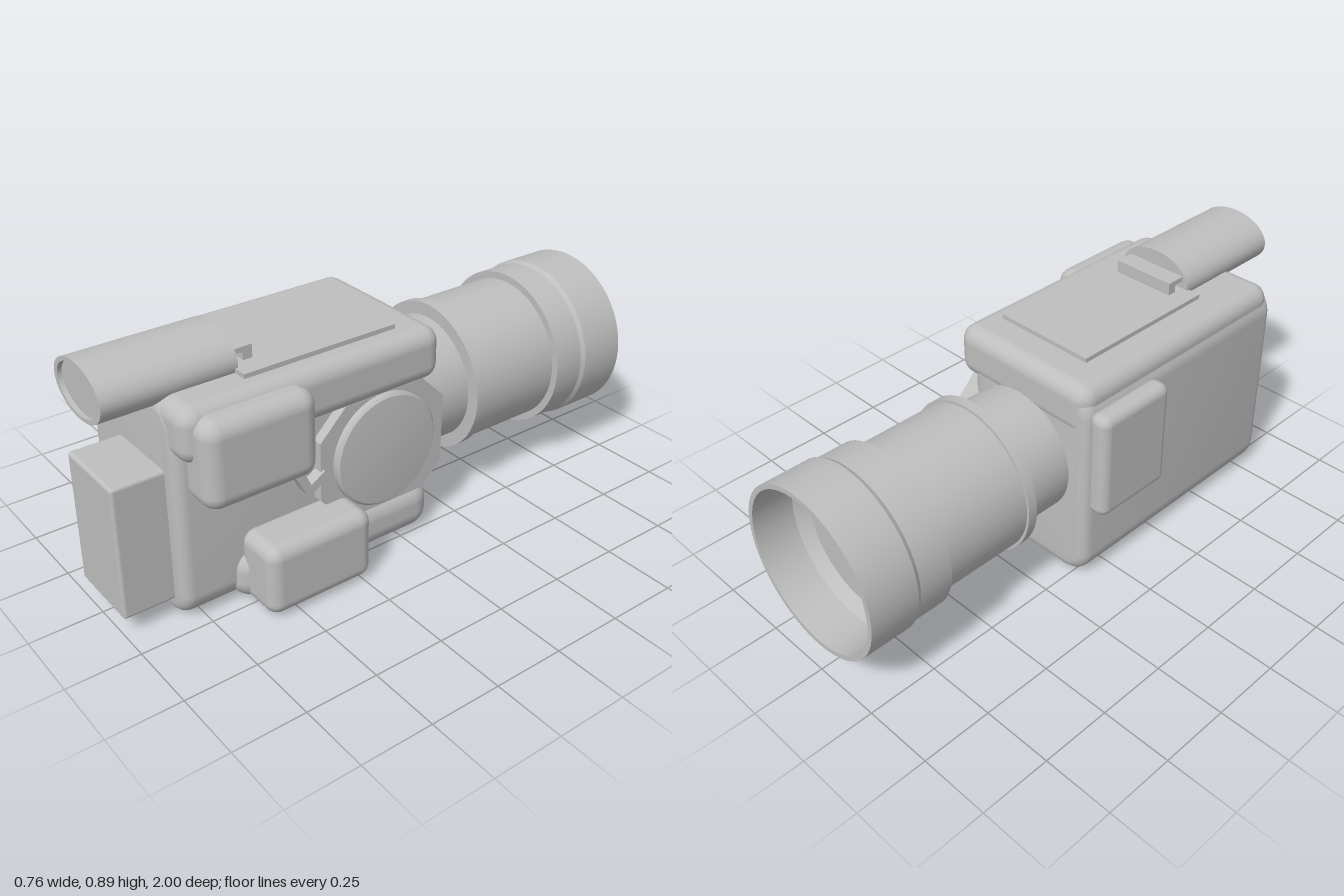
import * as THREE from 'three';
import { toCreasedNormals } from 'three/addons/utils/BufferGeometryUtils.js';
import { RoundedBoxGeometry } from 'three/addons/geometries/RoundedBoxGeometry.js';

export function createModel() {
  const model = new THREE.Group();
  model.name = 'camera';
  const grey = new THREE.MeshStandardMaterial({ color: 0xbebebe });
  grey.name = 'grey';

  const add = (name, geometry) => {
    const mesh = new THREE.Mesh(geometry, grey);
    mesh.name = name;
    model.add(mesh);
    return mesh;
  };

  // Box given by its limits on each axis, optionally rounded
  const block = (name, [x0, x1], [y0, y1], [z0, z1], radius = 0) => {
    const size = [x1 - x0, y1 - y0, z1 - z0];
    const geometry = radius
      ? new RoundedBoxGeometry(...size, 5, radius)
      : new THREE.BoxGeometry(...size);
    add(name, geometry).position.set((x0 + x1) / 2, (y0 + y1) / 2, (z0 + z1) / 2);
  };

  // Turned part from [radius, height] pairs, running along +y
  const turned = (profile) => toCreasedNormals(
    new THREE.LatheGeometry(profile.map(([r, h]) => new THREE.Vector2(r, h)), 64), 0.5);

  // Side plate from [z, y] outline, extruded along x
  const sidePlate = (name, outline, x0, x1) => {
    const shape = new THREE.Shape(outline.map(([z, y]) => new THREE.Vector2(-z, y)));
    const geometry = new THREE.ExtrudeGeometry(shape, { depth: x1 - x0, bevelEnabled: false });
    add(name, geometry.rotateY(Math.PI / 2).translate(x0, 0, 0));
  };

  // Main body: large corner radius seen from the front, small one on the front and back edges
  const bevel = 0.04, r = 0.06;
  const [l, rt, b, t] = [-0.31 + bevel, 0.22 - bevel, bevel, 0.76 - bevel];
  const outline = new THREE.Shape();
  outline.absarc(rt - r, b + r, r, -Math.PI / 2, 0);
  outline.absarc(rt - r, t - r, r, 0, Math.PI / 2);
  outline.absarc(l + r, t - r, r, Math.PI / 2, Math.PI);
  outline.absarc(l + r, b + r, r, Math.PI, Math.PI * 1.5);
  const bodyGeometry = new THREE.ExtrudeGeometry(outline, {
    depth: 0.955 - 2 * bevel, bevelSize: bevel, bevelThickness: bevel, bevelSegments: 5, curveSegments: 10,
  });
  add('body', toCreasedNormals(bodyGeometry.translate(0, 0, -0.13 + bevel), 0.6));

  // Top cover, accessory plate and battery
  block('topCover', [-0.3, 0.285], [0.585, 0.77], [-0.134, 0.822], 0.055);
  block('topPlate', [-0.18, 0.203], [0.76, 0.786], [0, 0.565]);
  block('battery', [-0.12, 0.156], [0.064, 0.531], [0.8, 1], 0.012);

  // Side housings
  block('leftSidePad', [-0.38, -0.3], [0.303, 0.698], [-0.12, 0.19], 0.033);
  block('upperGrip', [0.19, 0.352], [0.448, 0.745], [0.395, 0.79], 0.055);
  block('lowerGrip', [0.19, 0.377], [0.01, 0.26], [0.215, 0.61], 0.045);
  block('baseRail', [0.06, 0.265], [0.003, 0.19], [-0.132, 0.645], 0.075);

  // Viewfinder with an oval section and shallow recessed eyepiece
  const finder = add('viewfinder', turned([
    [0, 0.555], [0.145, 0.555], [0.145, 1], [0.125, 1], [0.125, 0.985], [0, 0.985],
  ]).rotateX(Math.PI / 2));
  finder.position.set(0.012, 0.794, 0);
  finder.scale.y = 0.635;
  block('finderBracketTop', [-0.11, 0.125], [0.813, 0.831], [0.485, 0.57]);
  block('finderBracketLeg', [-0.11, 0.125], [0.78, 0.814], [0.485, 0.518]);

  // Octagonal mount with a round domed knob
  sidePlate('knobMount', [
    [0.335, 0.28], [0.335, 0.49], [0.235, 0.59], [-0.075, 0.59],
    [-0.165, 0.50], [-0.165, 0.25], [-0.085, 0.17], [0.235, 0.17],
  ].reverse(), 0.18, 0.256);
  add('knob', turned([
    [0.2, 0.24], [0.2, 0.274], [0.192, 0.281], [0.12, 0.287], [0, 0.29],
  ]).rotateZ(-Math.PI / 2)).position.set(0, 0.39, 0.086);

  // Bent bracket between the upper grip and the knob
  sidePlate('bentBracket', [
    [0.47, 0.47], [0.395, 0.335], [0.37, 0.33], [0.31, 0.37],
    [0.325, 0.395], [0.377, 0.362], [0.43, 0.47],
  ], 0.225, 0.265);

  // Stepped lens barrel with an open hood and recessed glass
  add('lensBarrel', turned([
    [0.225, 0.1], [0.225, 0.32], [0.272, 0.32], [0.272, 0.355], [0.262, 0.355],
    [0.262, 0.69], [0.288, 0.69], [0.288, 0.81], [0.297, 0.825], [0.297, 1],
    [0.279, 1], [0.27, 0.86], [0.235, 0.82],
  ]).rotateX(-Math.PI / 2)).position.set(-0.009, 0.417, 0);
  add('lensGlass', new THREE.CircleGeometry(0.237, 64).rotateY(Math.PI))
    .position.set(-0.009, 0.417, -0.821);

  return model;
}
